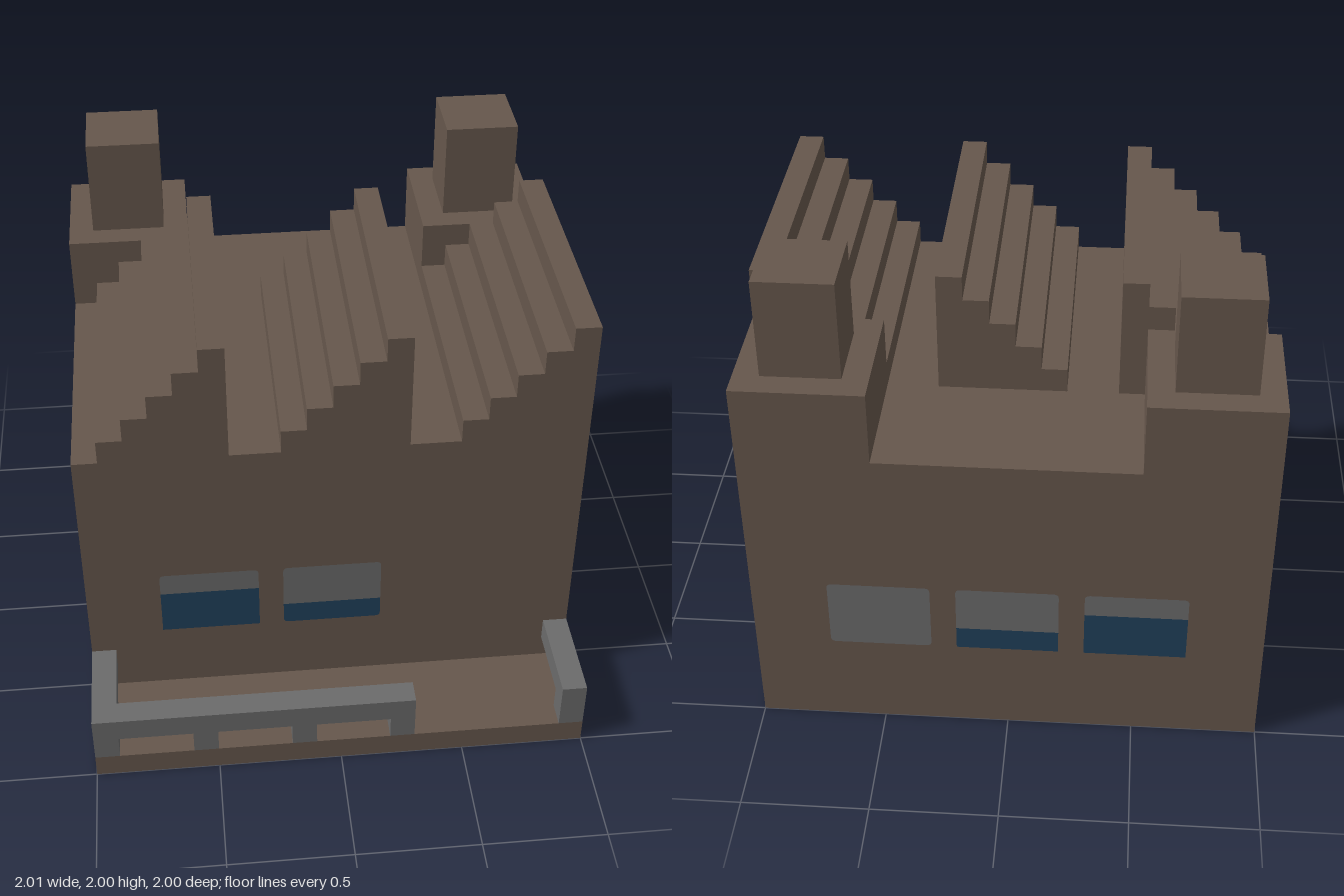
import * as THREE from 'three';

const material = (name, color) => {
  const m = new THREE.MeshStandardMaterial({ color });
  m.name = name;
  return m;
};

export function createModel() {
  const model = new THREE.Group();
  model.name = 'house';
  const brown = material('brown wall', 0x66574c);
  const grey = material('grey trim', 0x6b6b6b);
  const blue = material('blue glass', 0x20405b);

  const add = (parent, name, geometry, mat) => {
    const mesh = new THREE.Mesh(geometry, mat);
    mesh.name = name;
    parent.add(mesh);
    return mesh;
  };
  // Box given by its minimum and maximum corners
  const box = (parent, name, mat, [x0, y0, z0], [x1, y1, z1]) =>
    add(parent, name, new THREE.BoxGeometry(x1 - x0, y1 - y0, z1 - z0), mat)
      .position.set((x0 + x1) / 2, (y0 + y1) / 2, (z0 + z1) / 2);
  // Wall block extruded along z from a list of [x, y] outline points
  const block = (name, points, z0, z1) => {
    const shape = new THREE.Shape(points.map(([x, y]) => new THREE.Vector2(x, y)));
    const geometry = new THREE.ExtrudeGeometry(shape, { depth: z1 - z0, bevelEnabled: false });
    add(model, name, geometry.translate(0, 0, z0), brown);
  };

  // Ground slab
  box(model, 'baseSlab', brown, [-1, 0, -1], [1, 0.1, 1]);

  // Main body with three stepped roof ridges
  const outline = [[1, 0.1]];
  const ridgeTops = [0.9, 0.2, -0.5];
  for (const start of ridgeTops) {
    for (let i = 0; i < 5; i++) {
      const x = start - i * 0.1, y = 1.8 - i * 0.1;
      outline.push([x + 0.1, y], [x, y]);
    }
    const valley = start - 0.4;
    outline.push([valley, 1.3], [Math.max(valley - 0.2, -1), 1.3]);
  }
  outline.push([-1, 0.1]);
  block('steppedBody', outline, -0.5, 0.6);

  // Rear body with two raised corners
  block('rearBody', [
    [-1, 0.1], [1, 0.1], [1, 1.6], [0.5, 1.6],
    [0.5, 1.3], [-0.5, 1.3], [-0.5, 1.6], [-1, 1.6],
  ], -1, -0.5);

  // Chimneys
  for (const x of [-0.75, 0.75]) {
    box(model, x < 0 ? 'rightChimney' : 'leftChimney', brown,
      [x - 0.15, 1.6, -0.9], [x + 0.15, 2, -0.6]);
  }

  // Porch railing
  const railing = new THREE.Group();
  railing.name = 'porchRailing';
  model.add(railing);
  box(railing, 'frontRail', grey, [-1, 0.2, 0.9], [0.3, 0.3, 1]);
  box(railing, 'rightRail', grey, [-1, 0.2, 0.6], [-0.9, 0.3, 0.9]);
  box(railing, 'leftRail', grey, [0.9, 0.2, 0.6], [1, 0.3, 1]);
  for (const x of [-1, -0.6, -0.2, 0.2, 0.9]) {
    box(railing, 'railPost', grey, [x, 0.1, 0.9], [x + 0.1, 0.2, 1]);
  }

  // Flat pane with optional rounded top and bottom corners
  const pane = (y0, y1, roundTop, roundBottom) => {
    const w = 0.2, t = roundTop ? 0.02 : 0, b = roundBottom ? 0.02 : 0;
    const s = new THREE.Shape();
    s.moveTo(-w + b, y0).lineTo(w - b, y0);
    if (b) s.quadraticCurveTo(w, y0, w, y0 + b);
    s.lineTo(w, y1 - t);
    if (t) s.quadraticCurveTo(w, y1, w - t, y1);
    s.lineTo(-w + t, y1);
    if (t) s.quadraticCurveTo(-w, y1, -w, y1 - t);
    s.lineTo(-w, y0 + b);
    if (b) s.quadraticCurveTo(-w, y0, -w + b, y0);
    return new THREE.ShapeGeometry(s, 4);
  };
  // Window with a grey blind down to the given height
  const windowAt = (x, z, turn, split, roundSill = false) => {
    const group = new THREE.Group();
    group.name = 'window';
    group.position.set(x, 0, z);
    group.rotation.y = turn;
    model.add(group);
    if (split < 0.7) add(group, 'blind', pane(split, 0.7, true, split === 0.4), grey);
    if (split > 0.4) add(group, 'glass', pane(0.4, split, false, roundSill), blue);
  };
  const gap = 0.003;
  const right = Math.PI / 2;
  // Front
  windowAt(-0.5, 0.6 + gap, 0, 0.6);
  windowAt(0, 0.6 + gap, 0, 0.5, true);
  // Left side
  windowAt(1 + gap, 0.1, right, 0.5);
  windowAt(1 + gap, -0.5, right, 0.6);
  // Right side (the rear one has its blind fully up)
  windowAt(-1 - gap, 0.1, -right, 0.6);
  windowAt(-1 - gap, -0.5, -right, 0.7);
  // Back (the first has its blind fully down)
  windowAt(0.5, -1 - gap, Math.PI, 0.4);
  windowAt(0, -1 - gap, Math.PI, 0.5);
  windowAt(-0.5, -1 - gap, Math.PI, 0.6);

  return model;
}
